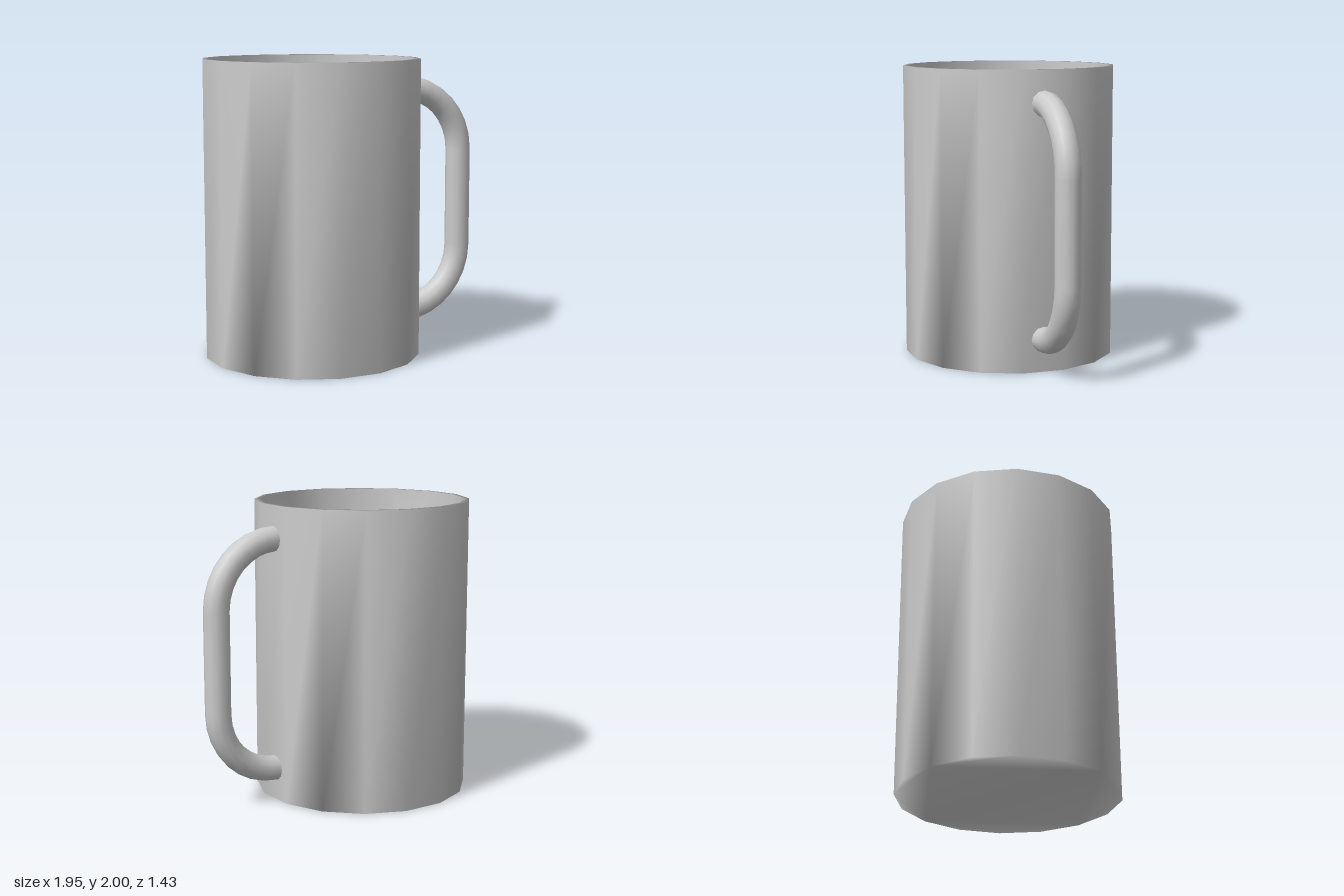
import * as THREE from 'three';

const SIDES = 16;
const CENTER_X = -0.262;

// Centre line of the handle: quarter arc, straight grip, quarter arc
class HandleCurve extends THREE.Curve {
  getPoint(t, target = new THREE.Vector3()) {
    const r = 0.44, x = 0.45, top = 1.34, bottom = 0.66;
    const s = t * 3;
    if (s < 1) {
      const a = (1 - s) * Math.PI / 2;
      return target.set(x + r * Math.cos(a), top + r * Math.sin(a), 0);
    }
    if (s <= 2) return target.set(x + r, THREE.MathUtils.lerp(top, bottom, s - 1), 0);
    const a = (s - 2) * Math.PI / 2;
    return target.set(x + r * Math.cos(a), bottom - r * Math.sin(a), 0);
  }
}

// Hollow cup from four rings with shared corners, so shading flows over the rim and base
function cupGeometry() {
  const rings = [[0.731, 0], [0.731, 2], [0.692, 2], [0.692, 0.04]];
  const positions = [], index = [], outline = [];
  rings.forEach(([radius, y], ring) => {
    for (let i = 0; i < SIDES; i++) {
      const a = (i + 0.5) / SIDES * Math.PI * 2;
      positions.push(radius * Math.cos(a), y, radius * Math.sin(a));
      if (ring === 0) outline.push(new THREE.Vector2(Math.cos(a), Math.sin(a)));
    }
  });

  // Outer wall, rim and inner wall
  for (let ring = 0; ring < 3; ring++) {
    for (let i = 0; i < SIDES; i++) {
      const j = (i + 1) % SIDES;
      const a = ring * SIDES + i, b = ring * SIDES + j;
      index.push(a, a + SIDES, b, b, a + SIDES, b + SIDES);
    }
  }

  // Underside and inner floor
  const floor = 3 * SIDES;
  for (const [a, b, c] of THREE.ShapeUtils.triangulateShape(outline, [])) {
    index.push(a, b, c, floor + a, floor + c, floor + b);
  }

  const geometry = new THREE.BufferGeometry();
  geometry.setAttribute('position', new THREE.Float32BufferAttribute(positions, 3));
  geometry.setIndex(index);
  geometry.computeVertexNormals();
  return geometry;
}

export function createModel() {
  const model = new THREE.Group();
  model.name = 'mug';
  const material = new THREE.MeshStandardMaterial({ color: 0xcccccc });

  const cup = new THREE.Mesh(cupGeometry(), material);
  cup.name = 'cup';
  cup.position.x = CENTER_X;
  model.add(cup);

  // Handle ends are buried in the cup wall
  const handle = new THREE.Mesh(new THREE.TubeGeometry(new HandleCurve(), 24, 0.086, 12), material);
  handle.name = 'handle';
  model.add(handle);

  return model;
}
